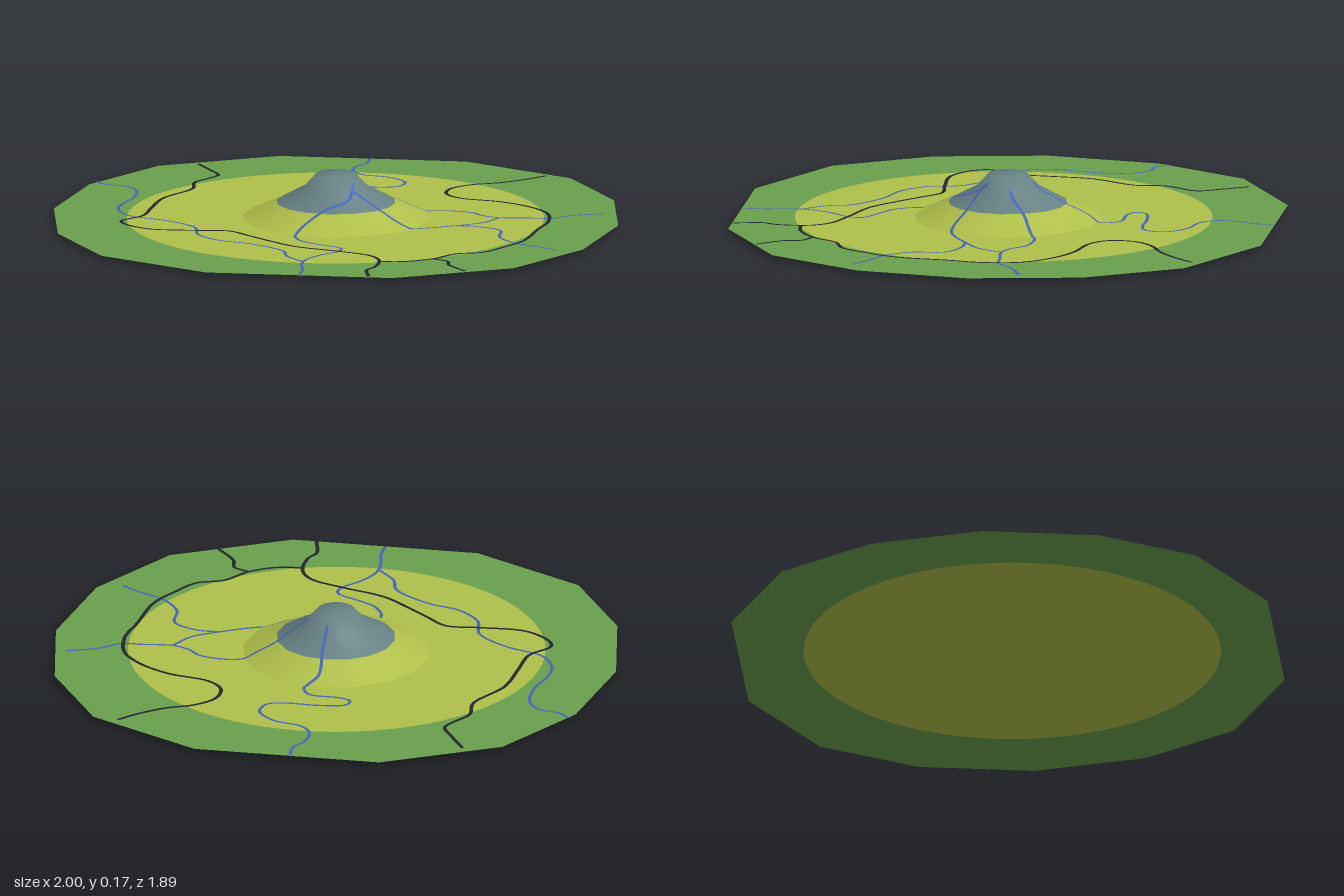
import * as THREE from 'three';

const GROUND_Y = 0.014;
const SIDES = 16;
// Mountain side, as [radius, height] from foot to summit
const SLOPE = [[0.375, 0], [0.33, 0.014], [0.21, 0.07], [0.11, 0.125], [0.068, 0.172]];

const paint = (name, color) => Object.assign(new THREE.MeshStandardMaterial({ color }), { name });

// Height of the terrain at a point, following the mountain and then the plain
function heightAt(x, z) {
  const r = Math.hypot(x, z);
  for (let i = 1; i < SLOPE.length; i++) {
    const [r0, y0] = SLOPE[i - 1], [r1, y1] = SLOPE[i];
    if (r <= r0 && r >= r1) return Math.max(GROUND_Y, y0 + (y1 - y0) * (r0 - r) / (r0 - r1));
  }
  return r < 0.068 ? 0.172 : GROUND_Y;
}

// Thin strip draped over the terrain along a smooth path of [x, z] points
function strip(points, width, lift) {
  const curve = new THREE.CatmullRomCurve3(points.map(([x, z]) => new THREE.Vector3(x, 0, z)));
  const n = points.length * 8;
  const position = [], index = [];
  for (let i = 0; i <= n; i++) {
    const p = curve.getPoint(i / n), t = curve.getTangent(i / n);
    for (const s of [-1, 1]) {
      const x = p.x - s * t.z * width / 2, z = p.z + s * t.x * width / 2;
      position.push(x, heightAt(x, z) + lift, z);
    }
    if (i < n) {
      const a = i * 2;
      index.push(a, a + 2, a + 1, a + 1, a + 2, a + 3);
    }
  }
  // Flip the winding where needed so that the strip faces up
  const geo = new THREE.BufferGeometry();
  geo.setAttribute('position', new THREE.Float32BufferAttribute(position, 3));
  geo.setIndex(index);
  geo.computeVertexNormals();
  if (geo.attributes.normal.getY(0) < 0) {
    geo.setIndex(index.reverse());
    geo.computeVertexNormals();
  }
  return geo;
}

const RIVERS = {
  northRiver: [[-0.01, -0.94], [-0.01, -0.87], [-0.04, -0.81], [-0.04, -0.73], [0, -0.68], [0.1, -0.65],
    [0.165, -0.58], [0.15, -0.51], [0.09, -0.49], [-0.02, -0.49], [-0.12, -0.47], [-0.13, -0.43],
    [-0.09, -0.41], [0.02, -0.4], [0.05, -0.34], [0.01, -0.28], [0.015, -0.18], [0.015, -0.09]],
  westRiver: [[-0.91, -0.44], [-0.87, -0.4], [-0.8, -0.385], [-0.755, -0.33], [-0.745, -0.21],
    [-0.775, -0.075], [-0.77, 0], [-0.72, 0.085], [-0.58, 0.145], [-0.47, 0.235], [-0.44, 0.35],
    [-0.36, 0.43], [-0.235, 0.475], [-0.11, 0.57], [-0.085, 0.65], [-0.02, 0.73]],
  southRiver: [[0.07, 0.06], [0.06, 0.14], [-0.03, 0.21], [-0.1, 0.32], [-0.065, 0.405], [0, 0.45],
    [0.085, 0.5], [0.085, 0.55], [0.03, 0.62], [-0.01, 0.7], [-0.015, 0.78], [0, 0.86], [0, 0.94]],
  eastRiver: [[0.1, -0.02], [0.14, -0.04], [0.2, -0.085], [0.26, -0.11], [0.35, -0.145], [0.46, -0.13],
    [0.51, -0.085], [0.57, -0.06], [0.68, -0.07], [0.75, -0.075], [0.82, -0.13], [0.93, -0.175]],
  southEastRiver: [[0.07, 0.085], [0.165, 0.12], [0.27, 0.16], [0.35, 0.135], [0.43, 0.09], [0.52, 0.03],
    [0.57, -0.055]],
  riverBranch: [[0.43, 0.09], [0.51, 0.09], [0.6, 0.14], [0.615, 0.25], [0.68, 0.335], [0.78, 0.39],
    [0.84, 0.43]],
};

const ROADS = {
  westRoad: [[-0.595, -0.77], [-0.535, -0.67], [-0.5, -0.6], [-0.525, -0.545], [-0.565, -0.475],
    [-0.56, -0.37], [-0.64, -0.21], [-0.66, -0.05], [-0.675, 0.085], [-0.735, 0.17], [-0.715, 0.225],
    [-0.62, 0.29], [-0.45, 0.29], [-0.34, 0.285], [-0.26, 0.35], [-0.18, 0.42], [-0.075, 0.5],
    [0.085, 0.555], [0.2, 0.605], [0.245, 0.675], [0.245, 0.79], [0.225, 0.835], [0.245, 0.94]],
  eastRoad: [[0.64, -0.745], [0.58, -0.68], [0.49, -0.61], [0.405, -0.57], [0.34, -0.5], [0.335, -0.41],
    [0.39, -0.35], [0.54, -0.31], [0.65, -0.245], [0.725, -0.155], [0.75, -0.02], [0.73, 0.11],
    [0.705, 0.3], [0.65, 0.41], [0.59, 0.5], [0.5, 0.54], [0.43, 0.63], [0.34, 0.685], [0.245, 0.7]],
  roadSpur: [[0.43, 0.63], [0.485, 0.66], [0.5, 0.72], [0.57, 0.81]],
};

export function createModel() {
  const model = new THREE.Group();
  model.name = 'mountainIsland';
  const forest = paint('forestGreen', 0x6aa04e);
  const meadow = paint('meadowYellow', 0xb0c04a);
  const rock = paint('rockGrey', 0x668084);
  const water = paint('riverBlue', 0x4464b4);
  const tar = paint('roadBlack', 0x22262a);
  forest.side = meadow.side = THREE.DoubleSide;

  const add = (name, geometry, material) => {
    const mesh = new THREE.Mesh(geometry, material);
    mesh.name = name;
    model.add(mesh);
    return mesh;
  };

  // Flat plain: fourteen-sided forest rim around a round meadow
  const quarter = [[1, 0], [0.93, 0.4], [0.73, 0.73], [0.33, 0.945]];
  const half = [...quarter, ...quarter.slice(1).reverse().map(([x, z]) => [-x, z])];
  const rim = [...half, ...half.map(([x, z]) => [-x, -z])].map(([x, z]) => new THREE.Vector2(x, z));
  const rimShape = new THREE.Shape(rim);
  const meadowRadius = 0.733, meadowZ = 0.015;
  rimShape.holes.push(new THREE.Path().absarc(0, -meadowZ, meadowRadius, 0, Math.PI * 2, true));
  const flat = (geo) => geo.rotateX(-Math.PI / 2).translate(0, GROUND_Y, 0);
  add('forestRim', flat(new THREE.ShapeGeometry(rimShape, 36)), forest);
  add('meadow', flat(new THREE.CircleGeometry(meadowRadius, 72).translate(0, -meadowZ, 0)), meadow);

  // Mountain: grassy foot with a closed base, and a rocky flat-topped peak
  const lathe = (points) => new THREE.LatheGeometry(points.map(([r, y]) => new THREE.Vector2(r, y)), SIDES);
  add('mountainFoot', lathe([[0, 0], ...SLOPE.slice(0, 3)]), meadow);
  add('mountainPeak', lathe([...SLOPE.slice(2), [0, 0.172]]), rock);

  // Rivers and roads draped over the land
  for (const [name, path] of Object.entries(RIVERS)) add(name, strip(path, 0.011, 0.0015), water);
  for (const [name, path] of Object.entries(ROADS)) add(name, strip(path, 0.013, 0.0025), tar);
  return model;
}
